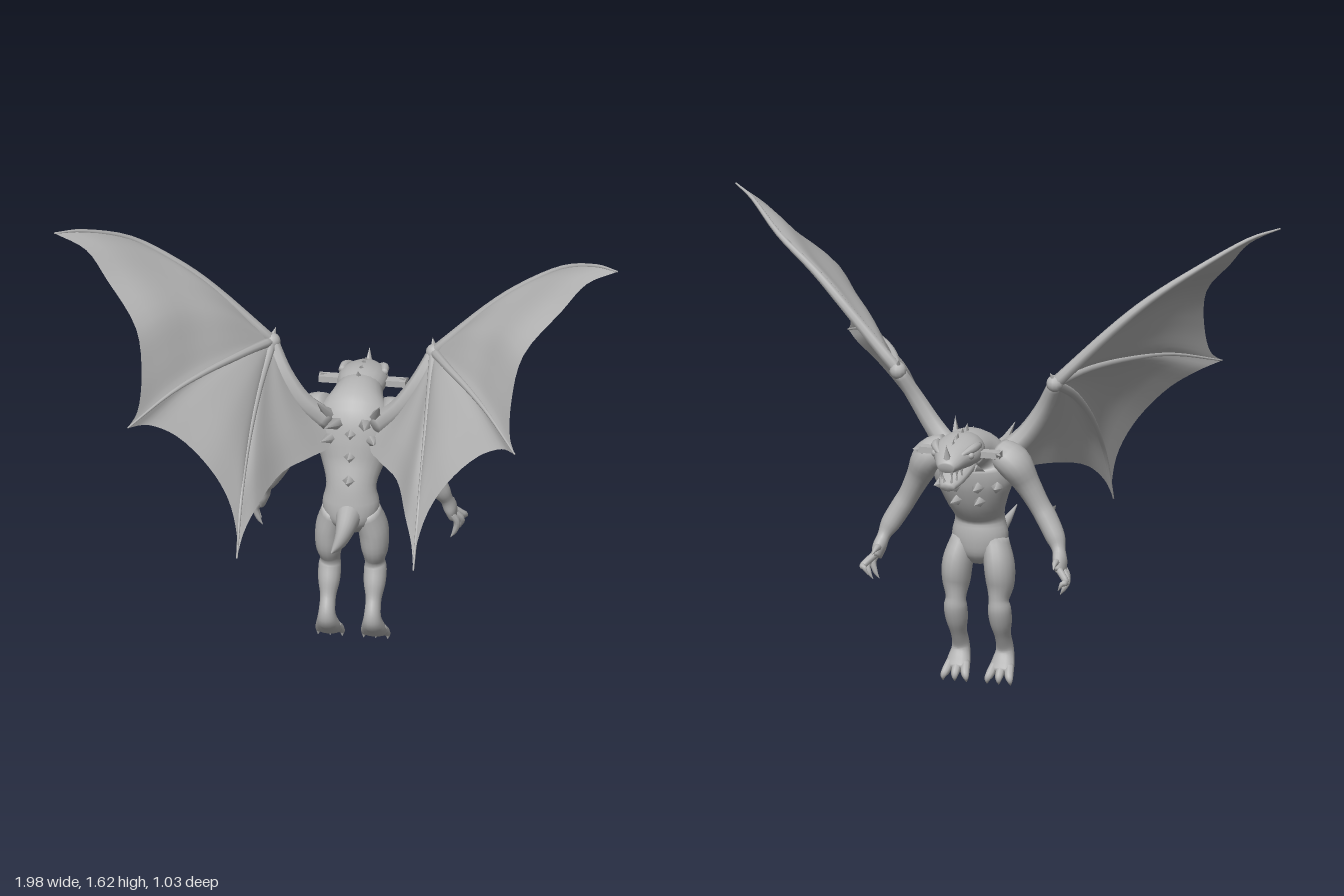
import * as THREE from 'three';

const V = (x, y, z) => new THREE.Vector3(x, y, z);
const X = V(1, 0, 0), Z = V(0, 0, 1);

export function createModel() {
  const root = new THREE.Group();
  const grey = new THREE.MeshStandardMaterial({ color: 0xb4b4b4, side: THREE.DoubleSide });
  grey.name = 'stoneGrey';

  const add = (parent, name, geo) => {
    const m = new THREE.Mesh(geo, grey);
    m.name = name;
    parent.add(m);
    return m;
  };

  // Grid of points to an indexed smooth surface; columns may wrap round
  const surface = (rows, wrap) => {
    const n = rows[0].length, pos = [], idx = [];
    rows.forEach(r => r.forEach(p => pos.push(p.x, p.y, p.z)));
    for (let i = 0; i < rows.length - 1; i++)
      for (let j = 0; j < (wrap ? n : n - 1); j++) {
        const a = i * n + j, b = i * n + (j + 1) % n;
        idx.push(a, b, a + n, b, b + n, a + n);
      }
    const g = new THREE.BufferGeometry();
    g.setAttribute('position', new THREE.Float32BufferAttribute(pos, 3));
    g.setIndex(idx);
    g.computeVertexNormals();
    return g;
  };

  // Smooth body from sections [x, y, z, radius along ref, radius across]
  const loft = (secs, ref = X, s = 1, sides = 16) => {
    const path = new THREE.CatmullRomCurve3(secs.map(q => V(q[0] * s, q[1], q[2])), false, 'catmullrom');
    const radii = new THREE.CatmullRomCurve3(secs.map(q => V(q[3], q[4] ?? q[3], 0)), false, 'catmullrom');
    const steps = (secs.length - 1) * 4, rows = [];
    for (let i = 0; i <= steps; i++) {
      const t = i / steps, c = path.getPoint(t), T = path.getTangent(t), r = radii.getPoint(t);
      const S = ref.clone().addScaledVector(T, -ref.dot(T)).normalize();
      const U = T.clone().cross(S);
      const ring = k => Array.from({ length: sides }, (_, j) => {
        const a = j / sides * Math.PI * 2;
        return c.clone().addScaledVector(S, Math.cos(a) * Math.max(r.x, 0.001) * k)
          .addScaledVector(U, Math.sin(a) * Math.max(r.y, 0.001) * k);
      });
      if (i === 0) rows.push(ring(0));
      rows.push(ring(1));
      if (i === steps) rows.push(ring(0));
    }
    return surface(rows, true);
  };

  // Pointed spike from base to tip
  const spike = (parent, name, base, tip, r, sides = 5) => {
    const a = V(...base), d = V(...tip).sub(a), len = d.length();
    const g = new THREE.ConeGeometry(r, len, sides).translate(0, len / 2, 0);
    const m = add(parent, name, g);
    m.position.copy(a);
    m.quaternion.setFromUnitVectors(V(0, 1, 0), d.normalize());
  };

  // Torso, neck, head and tail
  add(root, 'torso', loft([
    [0, 0.43, -0.11, 0.04, 0.04], [0, 0.47, -0.115, 0.085, 0.07], [0, 0.53, -0.12, 0.1, 0.075],
    [0, 0.6, -0.125, 0.088, 0.068], [0, 0.68, -0.165, 0.115, 0.085], [0, 0.76, -0.19, 0.145, 0.095],
    [0, 0.83, -0.205, 0.13, 0.09], [0, 0.865, -0.25, 0.095, 0.075], [0, 0.878, -0.33, 0.075, 0.06],
  ], X, 1, 24));
  add(root, 'head', loft([
    [0, 0.875, -0.28, 0.07, 0.06], [0, 0.887, -0.34, 0.085, 0.06], [0, 0.887, -0.4, 0.085, 0.053],
    [0, 0.88, -0.45, 0.062, 0.045], [0, 0.868, -0.495, 0.042, 0.03], [0, 0.862, -0.515, 0.028, 0.018],
  ], X, 1, 20));
  add(root, 'jaw', loft([
    [0, 0.84, -0.33, 0.06, 0.03], [0, 0.822, -0.4, 0.055, 0.028], [0, 0.802, -0.46, 0.042, 0.023],
    [0, 0.79, -0.5, 0.025, 0.015],
  ]));
  add(root, 'tail', loft([
    [0, 0.51, -0.12, 0.06, 0.06], [0, 0.495, -0.05, 0.042, 0.05], [0, 0.48, 0.03, 0.03, 0.037],
    [0, 0.482, 0.11, 0.022, 0.026], [0, 0.497, 0.2, 0.014, 0.015], [0, 0.52, 0.3, 0.002, 0.002],
  ]));

  // Crest along the skull and spikes down the back
  [[-0.29, 0.925, 0.962], [-0.345, 0.935, 0.958], [-0.4, 0.93, 0.955], [-0.45, 0.91, 0.945]].forEach(
    ([z, y, top]) => spike(root, 'crestSpike', [0, y, z], [0, top, z + 0.025], 0.016, 4));
  spike(root, 'noseHorn', [0, 0.88, -0.495], [0, 0.945, -0.512], 0.017, 6);
  [[0.63, -0.065], [0.71, -0.09], [0.79, -0.105]].forEach(
    ([y, z]) => spike(root, 'backSpike', [0, y, z - 0.015], [0, y + 0.015, z + 0.055], 0.027, 4));

  // Wing curves, all starting at the wrist
  const W = [0.285, 1.1, -0.165];
  const lead = [W, [0.48, 1.295, -0.13], [0.61, 1.41, -0.09], [0.76, 1.515, -0.03], [0.9, 1.595, 0.11], [0.99, 1.62, 0.2]];
  const midFinger = [W, [0.36, 1.12, 0], [0.46, 1.12, 0.17], [0.56, 1.1, 0.33], [0.68, 1.04, 0.51]];
  const lowFinger = [W, [0.3, 1.01, 0.02], [0.31, 0.88, 0.19], [0.312, 0.72, 0.33], [0.31, 0.535, 0.43]];
  const arm = [W, [0.235, 1.0, -0.125], [0.17, 0.9, -0.12], [0.09, 0.82, -0.15]];
  const panels = [
    [lead, midFinger, [[0.88, 1.56, 0.19], [0.8, 1.47, 0.23], [0.68, 1.335, 0.33], [0.65, 1.19, 0.4], [0.655, 1.08, 0.46]]],
    [midFinger, lowFinger, [[0.62, 1.02, 0.43], [0.53, 0.965, 0.385], [0.42, 0.85, 0.37], [0.35, 0.73, 0.37], [0.315, 0.61, 0.4]]],
    [lowFinger, arm, [[0.295, 0.61, 0.38], [0.26, 0.68, 0.3], [0.2, 0.735, 0.12], [0.12, 0.745, 0], [0.07, 0.75, -0.1]]],
  ];

  for (const s of [1, -1]) {
    const side = s > 0 ? 'left' : 'right';
    const pts = a => a.map(p => V(p[0] * s, p[1], p[2]));
    const curve = a => new THREE.CatmullRomCurve3(pts(a));
    const mir = p => [p[0] * s, p[1], p[2]];

    // Membrane: rays from the wrist to a scalloped edge, bowed like the bones beside them
    const wing = new THREE.Group();
    wing.name = side + 'Wing';
    root.add(wing);
    const w = V(...mir(W));
    for (const [a, b, edge] of panels) {
      const ca = curve(a), cb = curve(b);
      const ce = new THREE.CatmullRomCurve3(pts([a[a.length - 1], ...edge, b[b.length - 1]]));
      const bow = (c, v) => c.getPoint(v).sub(w.clone().lerp(c.getPoint(1), v));
      const rows = [];
      for (let i = 0; i <= 24; i++) {
        const u = i / 24, e = ce.getPoint(u);
        rows.push(Array.from({ length: 17 }, (_, j) => {
          const v = j / 16;
          return w.clone().lerp(e, v).addScaledVector(bow(ca, v), 1 - u).addScaledVector(bow(cb, v), u);
        }));
      }
      add(wing, 'membrane', surface(rows, false));
    }
    // Wing bones taper towards the tips
    const bone = (name, p, r0, r1) => add(wing, name, loft(
      p.map((q, i) => [...q, r0 + (r1 - r0) * i / (p.length - 1)]), Z, s, 8));
    bone('leadingBone', lead, 0.022, 0.003);
    bone('middleFinger', midFinger, 0.018, 0.003);
    bone('lowerFinger', lowFinger, 0.018, 0.003);
    bone('wingArm', arm, 0.024, 0.042);
    add(wing, 'wingWrist', new THREE.SphereGeometry(0.03, 12, 8)).position.copy(w);
    spike(wing, 'wristClaw', mir([0.285, 1.11, -0.165]), mir([0.275, 1.145, -0.19]), 0.015);

    // Arm and clawed hand
    add(root, side + 'Arm', loft([
      [0.09, 0.85, -0.2, 0.05, 0.05], [0.15, 0.82, -0.215, 0.072, 0.06], [0.195, 0.745, -0.2, 0.05, 0.045],
      [0.235, 0.67, -0.19, 0.04, 0.037], [0.265, 0.62, -0.19, 0.042, 0.037], [0.3, 0.56, -0.205, 0.036, 0.034],
      [0.318, 0.52, -0.222, 0.025, 0.023], [0.328, 0.485, -0.24, 0.036, 0.024], [0.335, 0.45, -0.255, 0.035, 0.017],
    ], Z, s));
    [[-0.225, 0.345, 0.368], [-0.248, 0.355, 0.375], [-0.272, 0.36, 0.4]].forEach(([z, x, y], i) => {
      const tipZ = z - 0.012 - i * 0.017;
      add(root, side + 'Finger', loft([[0.333, 0.465, z, 0.013], [x + 0.008, 0.43, z - 0.008 - i * 0.01, 0.012],
        [x, y + 0.025, tipZ, 0.009], [x - 0.015, y, tipZ, 0.001]], Z, s, 8));
    });
    add(root, side + 'Thumb', loft([[0.325, 0.485, -0.25, 0.014], [0.325, 0.49, -0.285, 0.011],
      [0.33, 0.475, -0.325, 0.001]], X, s, 8));
    spike(root, side + 'ElbowSpike', mir([0.265, 0.635, -0.165]), mir([0.275, 0.65, -0.115]), 0.018, 4);

    // Leg, foot and toes
    add(root, side + 'Leg', loft([
      [0.055, 0.51, -0.12, 0.045, 0.06], [0.075, 0.43, -0.14, 0.052, 0.07], [0.08, 0.36, -0.142, 0.048, 0.062],
      [0.078, 0.305, -0.153, 0.035, 0.044], [0.08, 0.27, -0.153, 0.04, 0.045], [0.08, 0.22, -0.135, 0.038, 0.044],
      [0.08, 0.17, -0.115, 0.028, 0.035], [0.08, 0.125, -0.092, 0.029, 0.035], [0.08, 0.095, -0.092, 0.034, 0.034],
      [0.08, 0.065, -0.113, 0.042, 0.028], [0.08, 0.035, -0.137, 0.046, 0.02],
    ], X, s));
    [-0.034, 0, 0.034].forEach(d => {
      add(root, side + 'Toe', loft([[0.08 + d * 0.8, 0.06, -0.12, 0.016], [0.08 + d, 0.035, -0.15, 0.016],
        [0.08 + d * 1.2, 0.018, -0.163, 0.011], [0.08 + d * 1.25, 0, -0.16, 0.001]], X, s, 8));
    });

    // Face: side frills, brows, eyes, cheek spikes and fangs
    const frill = add(root, side + 'Frill', new THREE.BoxGeometry(0.085, 0.022, 0.04));
    frill.position.set(s * 0.11, 0.885, -0.365);
    spike(root, side + 'FrillTip', mir([0.138, 0.885, -0.365]), mir([0.158, 0.89, -0.4]), 0.02, 4);
    add(root, side + 'Brow', loft([[0.075, 0.915, -0.37, 0.012], [0.068, 0.915, -0.42, 0.015],
      [0.04, 0.9, -0.465, 0.006]], X, s, 8));
    add(root, side + 'Eye', new THREE.SphereGeometry(0.013, 10, 8)).position.set(s * 0.065, 0.893, -0.435);
    spike(root, side + 'CheekSpike', mir([0.055, 0.83, -0.36]), mir([0.085, 0.81, -0.33]), 0.017, 4);
    [[0.038, -0.455], [0.03, -0.485], [0.018, -0.505]].forEach(([x, z]) => {
      spike(root, side + 'UpperFang', mir([x, 0.853, z]), mir([x, 0.822, z]), 0.007);
      spike(root, side + 'LowerFang', mir([x - 0.006, 0.805, z + 0.012]), mir([x, 0.838, z + 0.008]), 0.006);
    });

    // Shoulder horns and chest spikes
    spike(root, side + 'ShoulderHorn', mir([0.075, 0.83, -0.16]), mir([0.11, 0.925, -0.06]), 0.028, 5);
    spike(root, side + 'InnerHorn', mir([0.045, 0.82, -0.14]), mir([0.07, 0.87, 0.03]), 0.026, 5);
    spike(root, side + 'LowerHorn', mir([0.07, 0.77, -0.12]), mir([0.095, 0.79, -0.03]), 0.022, 5);
    [[0.04, 0.735, -0.265, -0.35], [0.1, 0.735, -0.245, -0.31], [0.04, 0.68, -0.235, -0.33]].forEach(
      ([x, y, z, tip]) => spike(root, side + 'ChestSpike', mir([x, y, z]), mir([x * 1.1, y + 0.005, tip]), 0.025, 4));
  }
  return root;
}
